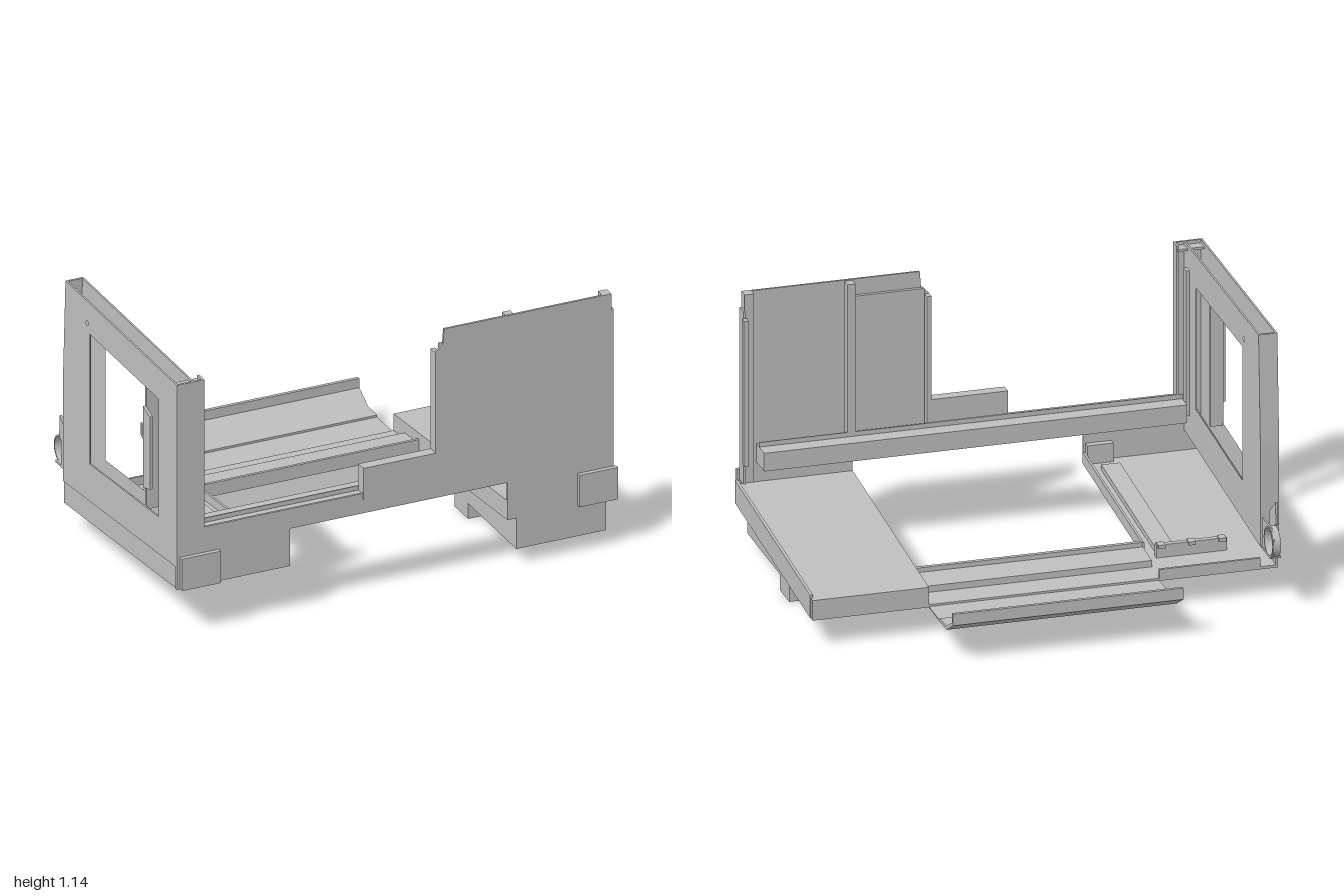
import * as THREE from 'three';

export function createModel() {
  const model = new THREE.Group();
  const steel = new THREE.MeshStandardMaterial({ color: 0xbebebe });
  steel.name = 'steelGrey';

  const add = (name, geometry) => {
    const mesh = new THREE.Mesh(geometry, steel);
    mesh.name = name;
    model.add(mesh);
    return mesh;
  };
  // Box given by its limits on each axis
  const box = (name, x0, x1, y0, y1, z0, z1) =>
    add(name, new THREE.BoxGeometry(x1 - x0, y1 - y0, z1 - z0)
      .translate((x0 + x1) / 2, (y0 + y1) / 2, (z0 + z1) / 2));
  // Side profile of [z, y] points, extruded from x0 to x1
  const toShape = (pts) => new THREE.Shape(pts.map(([z, y]) => new THREE.Vector2(-z, y)));
  const extrudeX = (name, shape, x0, x1) =>
    add(name, new THREE.ExtrudeGeometry(shape, { depth: x1 - x0, bevelEnabled: false, curveSegments: 16 })
      .rotateY(Math.PI / 2).translate(x0, 0, 0));
  const profile = (name, pts, x0, x1) => extrudeX(name, toShape(pts), x0, x1);
  const hole = (z, y, r) => new THREE.Path().absarc(-z, y, r, 0, Math.PI * 2, true);

  // Floor line of the frame, falling towards the back
  const floorY = (z) => 0.21 + (z - 0.7) * 0.085;
  const sloped = (name, x0, x1, z0, z1, lo, hi) => profile(name, [
    [z0, floorY(z0) + lo], [z1, floorY(z1) + lo], [z1, floorY(z1) + hi], [z0, floorY(z0) + hi],
  ], x0, x1);

  // Front sheet: left post, low strip, tall shield and bottom notch
  const front = new THREE.Shape([
    [-0.99, 0.21], [-0.48, 0.21], [-0.48, 0.38], [0.5, 0.38], [0.5, 0.21], [0.97, 0.21],
    [0.97, 1.14], [0.215, 1.14], [0.21, 1.075], [0.175, 1.04], [0.175, 0.47],
    [-0.865, 0.47], [-0.865, 1.14], [-0.99, 1.14],
  ].map(([x, y]) => new THREE.Vector2(x, y)));
  add('frontSheet', new THREE.ExtrudeGeometry(front, { depth: 0.01, bevelEnabled: false }).translate(0, 0, 0.69));
  box('frontBeam', -0.89, 0.91, 0.385, 0.465, 0.58, 0.69);
  box('frontBeamLip', -0.89, 0.91, 0.465, 0.485, 0.65, 0.655);
  box('frontRaisedBlock', -0.15, 0.175, 0.44, 0.585, 0.655, 0.703);

  // Stiffeners behind the tall shield
  box('shieldRib', 0.5, 0.535, 0.465, 1.135, 0.65, 0.69);
  box('shieldRearPanel', 0.2, 0.5, 0.465, 1.07, 0.675, 0.69);
  box('shieldInnerFlange', 0.175, 0.195, 0.465, 1.04, 0.655, 0.69);
  box('shieldOuterFlange', 0.93, 0.97, 0.31, 1.14, 0.655, 0.69);
  box('shieldOuterChannel', 0.97, 0.978, 0.31, 1.07, 0.645, 0.7);
  box('shieldOuterRail', 0.965, 0.985, 0.4, 1.04, 0.615, 0.645);

  // Front feet plates
  box('rightFootPlate', -0.975, -0.8, 0.21, 0.355, 0.7, 0.72);
  box('leftFootPlate', 0.815, 0.99, 0.21, 0.355, 0.7, 0.72);

  // Closed shelf and the stepped box beneath it
  sloped('shelf', 0.5, 0.995, 0.69, -0.385, 0, 0.088);
  sloped('shelfOuterRim', 0.985, 0.998, 0.7, -0.36, 0, 0.1);
  profile('underBox', [
    [0.7, 0.21], [0.7, 0.07], [0.24, 0.07], [0.24, 0], [0.11, 0], [0.11, 0.165],
  ], 0.54, 0.945);
  for (const y of [0.01, 0.025]) box('underBoxPin', 0.6, 0.62, y, y + 0.008, 0.1, 0.11);

  // Open tray
  sloped('trayFloor', -0.985, -0.48, 0.69, -0.385, 0, 0.012);
  sloped('trayOuterWall', -0.985, -0.975, 0.7, -0.385, 0, 0.1);
  sloped('trayInnerWall', -0.49, -0.48, 0.69, -0.14, 0, 0.05);
  sloped('trayRail', -0.61, -0.53, 0.6, 0.15 - 0.3, 0.01, 0.035);
  sloped('trayBackWall', -0.91, -0.48, -0.375, -0.385, 0, 0.05);
  box('trayFrontBlock', -0.6, -0.49, 0.21, 0.3, 0.66, 0.69);
  box('trayBar', -0.82, -0.52, 0.14, 0.2, -0.21, -0.185);
  for (const x of [-0.8, -0.67, -0.54]) box('trayBarTab', x - 0.015, x + 0.015, 0.19, 0.205, -0.225, -0.185);

  // Rear crossbar and folded chute
  sloped('crossbarFloor', -0.48, 0.5, -0.14, -0.385, 0, 0.012);
  sloped('crossbarStep', -0.48, 0.5, -0.155, -0.28, 0.01, 0.04);
  sloped('crossbarLip', -0.48, 0.5, -0.14, -0.155, 0, 0.06);
  profile('rearChute', [
    [-0.36, 0.115], [-0.63, 0.115], [-0.725, 0.17], [-0.725, 0.22], [-0.71, 0.22],
    [-0.71, 0.178], [-0.625, 0.13], [-0.54, 0.13], [-0.54, 0.121], [-0.36, 0.121],
  ], -0.48, 0.5);

  // Hollow side frame: two walls with a window, open along the top
  const frameOutline = [[0.69, 0.31], [0.69, 1.14], [-0.36, 1.14], [-0.385, 0.66], [-0.385, 0.218]];
  const windowPts = [[0.525, 0.465], [0.525, 1.0], [-0.13, 1.0], [-0.13, 0.41]];
  for (const [name, x] of [['sideFrameOuterWall', -0.99], ['sideFrameInnerWall', -0.918]]) {
    const wall = toShape(frameOutline);
    wall.holes.push(toShape(windowPts), hole(-0.153, 1.04, 0.011));
    extrudeX(name, wall, x, x + 0.008);
  }
  const reveal = toShape([[0.533, 0.457], [0.533, 1.008], [-0.138, 1.008], [-0.138, 0.402]]);
  reveal.holes.push(toShape(windowPts));
  extrudeX('windowReveal', reveal, -0.984, -0.916);
  profile('sideFrameBackFace', [[-0.36, 1.14], [-0.385, 0.66], [-0.385, 0.218], [-0.375, 0.218], [-0.375, 0.66], [-0.35, 1.14]], -0.985, -0.915);
  box('frontPostReturn', -0.875, -0.865, 0.47, 1.14, 0.65, 0.69);
  box('frontPostCap', -0.985, -0.87, 1.115, 1.125, 0.645, 0.69);
  box('frontPostRail', -0.91, -0.895, 0.4, 1.04, 0.615, 0.65);
  box('windowPost', -0.985, -0.93, 0.44, 1.0, 0.385, 0.4);
  profile('windowGrip', [[0.395, 0.54], [0.46, 0.56], [0.46, 0.89], [0.395, 0.91]], -0.998, -0.985);

  // Rear bracket with a ring
  profile('rearBracket', [
    [-0.415, 0.225], [-0.415, 0.385], [-0.5, 0.455], [-0.505, 0.36], [-0.485, 0.345], [-0.485, 0.225],
  ], -0.95, -0.94);
  box('rearBracketFoot', -0.95, -0.905, 0.225, 0.235, -0.54, -0.415);
  const plate = toShape([
    [-0.42, 0.225], [-0.42, 0.36], [-0.54, 0.36], [-0.578, 0.32], [-0.578, 0.26], [-0.54, 0.225],
  ]);
  plate.holes.push(hole(-0.513, 0.29, 0.059));
  extrudeX('ringPlate', plate, -0.915, -0.907);
  const ring = new THREE.Shape().absarc(0.513, 0.29, 0.064, 0, Math.PI * 2, false);
  ring.holes.push(hole(-0.513, 0.29, 0.057));
  extrudeX('ring', ring, -0.94, -0.905);

  return model;
}
